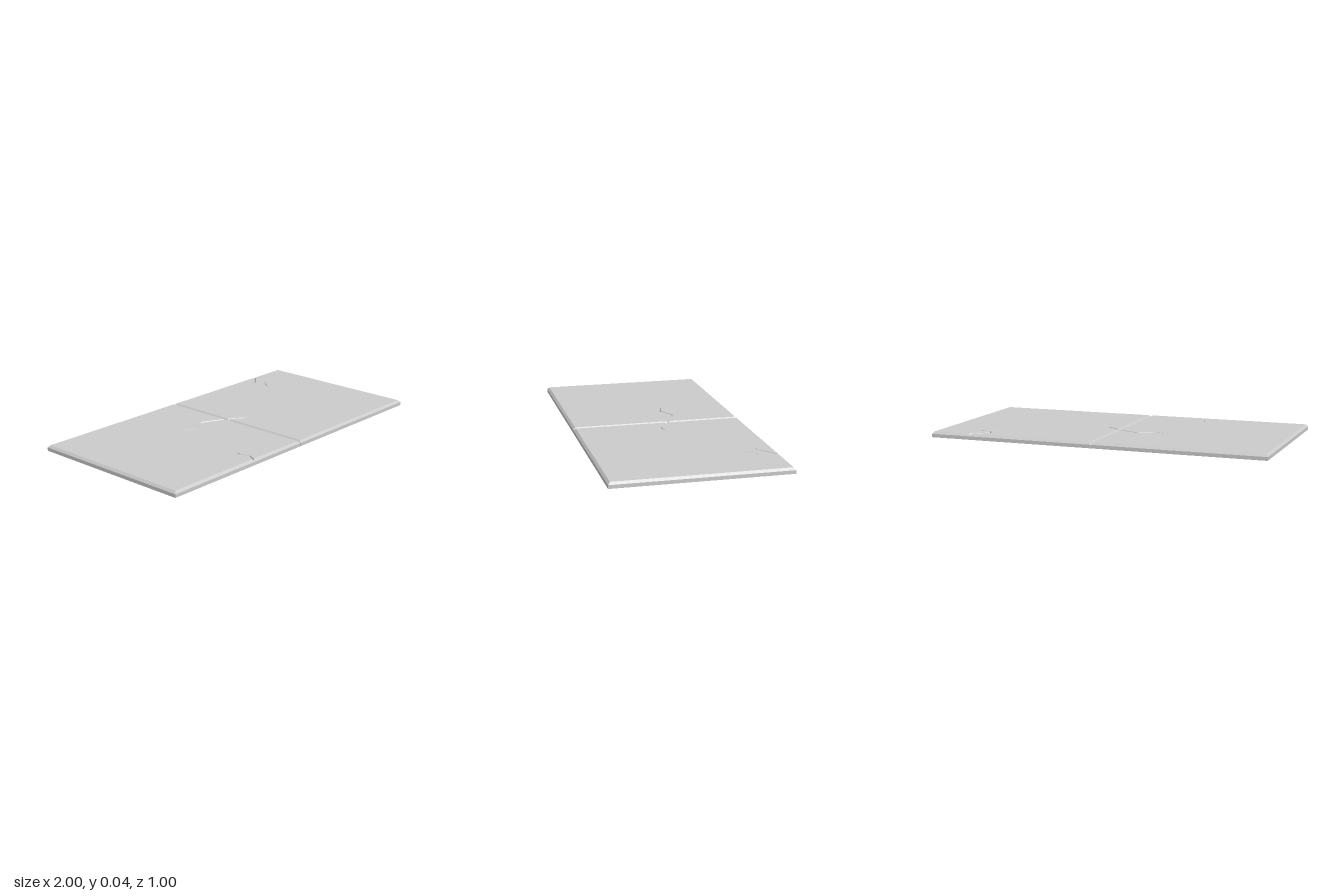
import * as THREE from 'three';

const TOP = 0.033, WALL = 0.02, BEVEL = 0.012, GROOVE = 0.012;
const V = (x, z) => new THREE.Vector2(x, -z); // plan view, y pointing to the back

const material = new THREE.MeshStandardMaterial({
  color: 0xcccccc, flatShading: true, side: THREE.DoubleSide,
});

function makeMesh(name, positions) {
  const g = new THREE.BufferGeometry();
  g.setAttribute('position', new THREE.Float32BufferAttribute(positions, 3));
  g.computeVertexNormals();
  const mesh = new THREE.Mesh(g, material);
  mesh.name = name;
  return mesh;
}

// Adds a convex polygon whose corners are [planPoint, height]
function addFace(out, ...corners) {
  for (let i = 1; i < corners.length - 1; i++) {
    for (const [p, h] of [corners[0], corners[i], corners[i + 1]]) out.push(p.x, h, -p.y);
  }
}

// Left and right banks of a crack that tapers to its tip (and to its start unless it opens on an edge)
function crackBanks(path, width, edgeDir) {
  const left = [], right = [], n = path.length - 1;
  path.forEach((p, i) => {
    const dir = path[Math.min(i + 1, n)].clone().sub(path[Math.max(i - 1, 0)]).normalize();
    const side = i === 0 && edgeDir ? edgeDir.clone().negate() : new THREE.Vector2(-dir.y, dir.x);
    const w = i === n || (i === 0 && !edgeDir) ? 0 : width * (1 - 0.4 * i / n);
    left.push(p.clone().addScaledVector(side, w));
    right.push(p.clone().addScaledVector(side, -w));
  });
  const outline = [...left, ...right.slice(edgeDir ? 0 : 1, -1).reverse()];
  return { path, left, right, outline };
}

// V-shaped groove between the banks of a crack
function addGroove(out, { path, left, right }, mouth) {
  const n = path.length - 1;
  const floor = i => [path[i], i === n || (i === 0 && !mouth) ? TOP : TOP - GROOVE];
  for (let i = 0; i < n; i++) {
    addFace(out, [left[i], TOP], floor(i), floor(i + 1), [left[i + 1], TOP]);
    addFace(out, floor(i), [right[i], TOP], [right[i + 1], TOP], floor(i + 1));
  }
  if (mouth) {
    addFace(out, [left[0], TOP], [mouth, WALL], floor(0));
    addFace(out, floor(0), [mouth, WALL], [right[0], TOP]);
  }
}

// Open-bottomed slab; edges run front, left, back, right. Edge cracks are keyed by edge number.
function createSlab(name, x0, x1, edgeCracks, innerCracks) {
  const rect = b => [V(x0 + b, 0.5 - b), V(x1 - b, 0.5 - b), V(x1 - b, -0.5 + b), V(x0 + b, -0.5 + b)];
  const outer = rect(0), inner = rect(BEVEL);
  const rim = [], grooves = [], outline = [];

  for (let e = 0; e < 4; e++) {
    const f = (e + 1) % 4;
    const a = inner[e], b = inner[f], A = outer[e], B = outer[f];
    addFace(rim, [A, 0], [B, 0], [B, WALL], [A, WALL]);
    outline.push(a);
    const crack = edgeCracks[e];
    if (!crack) {
      addFace(rim, [A, WALL], [B, WALL], [b, TOP], [a, TOP]);
      continue;
    }
    // The crack notches the chamfer
    const dir = b.clone().sub(a).normalize();
    const banks = crackBanks(crack.path, crack.width, dir);
    const mouth = crack.path[0].clone().add(new THREE.Vector2(dir.y, -dir.x).multiplyScalar(BEVEL));
    addFace(rim, [A, WALL], [mouth, WALL], [banks.left[0], TOP], [a, TOP]);
    addFace(rim, [mouth, WALL], [B, WALL], [b, TOP], [banks.right[0], TOP]);
    outline.push(...banks.outline);
    addGroove(grooves, banks, mouth);
  }

  const shape = new THREE.Shape(outline);
  for (const { path, width } of innerCracks) {
    const banks = crackBanks(path, width);
    shape.holes.push(new THREE.Path(banks.outline));
    addGroove(grooves, banks);
  }
  const top = new THREE.Mesh(
    new THREE.ShapeGeometry(shape).rotateX(-Math.PI / 2).translate(0, TOP, 0), material);
  top.name = 'topSurface';

  const slab = new THREE.Group();
  slab.name = name;
  slab.add(top, makeMesh('chamferedRim', rim), makeMesh('cracks', grooves));
  return slab;
}

export function createModel() {
  const model = new THREE.Group();
  model.name = 'crackedPavingSlabs';
  const seam = 0.001, s = seam + BEVEL, edge = 0.5 - BEVEL;

  // Slab on the -x side: half of the long crack, and a short crack from the front edge
  const slabA = createSlab('rightSlab', -1, -seam, {
    0: { width: 0.005, path: [V(-0.39, edge), V(-0.366, 0.44), V(-0.386, 0.39), V(-0.37, 0.345)] },
    1: { width: 0.009, path: [V(-s, -0.07), V(-0.142, -0.13), V(-0.238, -0.08), V(-0.338, -0.103)] },
  }, []);

  // Slab on the +x side: the rest of the long crack, and a branching crack from the back edge
  const slabB = createSlab('leftSlab', seam, 1, {
    2: { width: 0.008, path: [V(0.755, -edge), V(0.66, -0.413), V(0.698, -0.36), V(0.645, -0.285)] },
    3: { width: 0.009, path: [V(s, -0.053), V(0.094, 0.006), V(0.195, -0.012)] },
  }, [
    { width: 0.005, path: [V(0.655, -0.402), V(0.635, -0.4), V(0.625, -0.382)] },
    { width: 0.006, path: [V(0.707, -0.366), V(0.73, -0.38), V(0.74, -0.36), V(0.757, -0.352)] },
  ]);

  // The pair lies very slightly tilted
  const slabs = new THREE.Group();
  slabs.name = 'slabs';
  slabs.add(slabA, slabB);
  slabs.rotation.z = -0.0035;
  slabs.position.y = 0.0035;
  model.add(slabs);
  return model;
}
